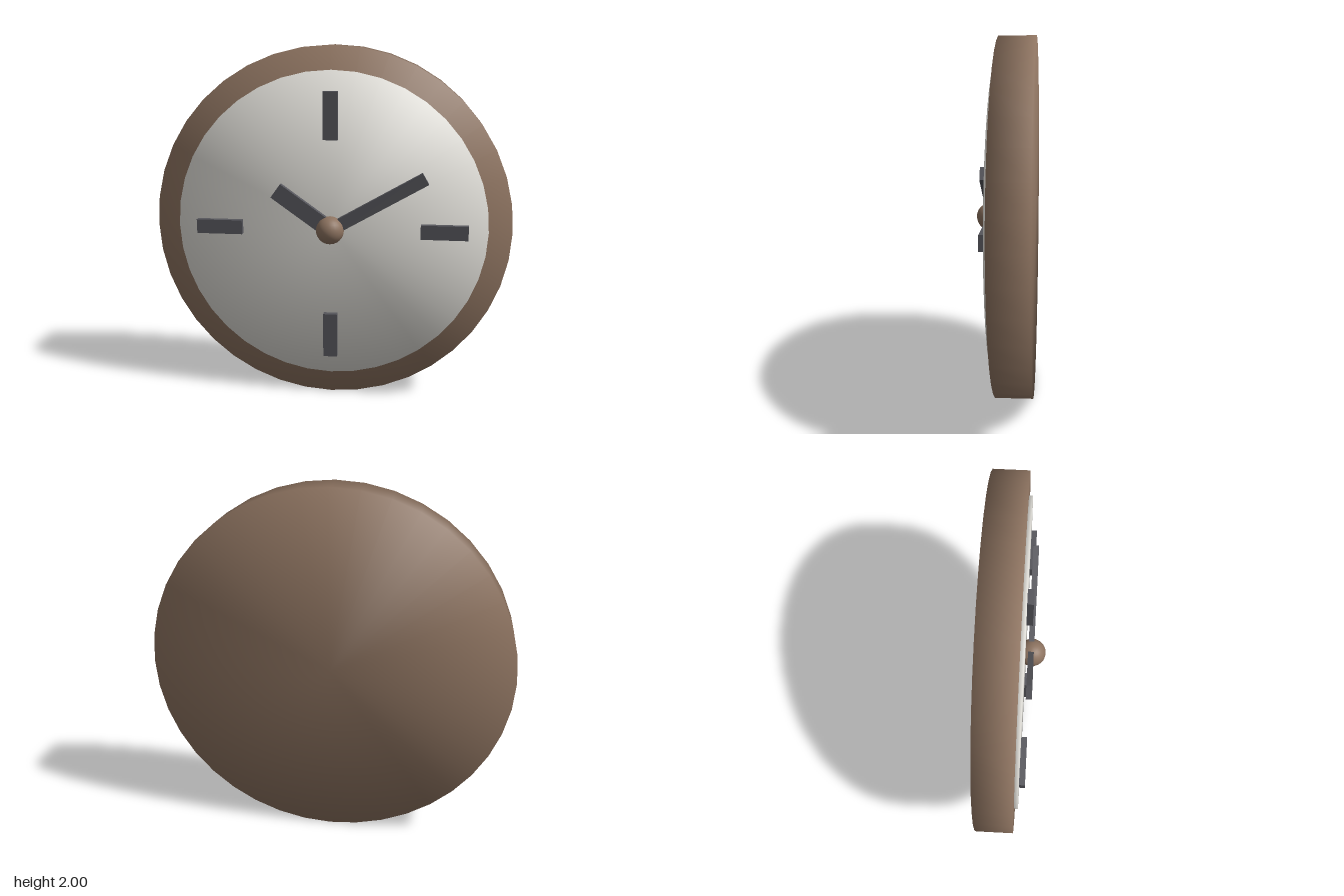
import * as THREE from 'three';

const wood = new THREE.MeshStandardMaterial({ name: 'brown wood', color: 0x8d7360 });
const dial = new THREE.MeshStandardMaterial({ name: 'off-white dial', color: 0xe0ded8 });
const dark = new THREE.MeshStandardMaterial({ name: 'charcoal', color: 0x55555b });

// Disc facing +z between two depths, with soft normals shared by rim and caps
function softDisc(radius, back, front, segments) {
  const geo = new THREE.CylinderGeometry(radius, radius, front - back, segments);
  geo.rotateX(Math.PI / 2);
  const p = geo.attributes.position, n = geo.attributes.normal;
  const v = new THREE.Vector3();
  for (let i = 0; i < p.count; i++) {
    const r = Math.hypot(p.getX(i), p.getY(i));
    if (r < 0.001) continue;
    v.set(p.getX(i) / r, p.getY(i) / r, Math.sign(p.getZ(i))).normalize();
    n.setXYZ(i, v.x, v.y, v.z);
  }
  return geo.translate(0, 0, (back + front) / 2);
}

// Bar pointing out from the centre, from radius r0 to r1 at the given angle
function radialBar(r0, r1, width, back, front, degrees) {
  return new THREE.BoxGeometry(r1 - r0, width, front - back)
    .translate((r0 + r1) / 2, 0, (back + front) / 2)
    .rotateZ(THREE.MathUtils.degToRad(degrees));
}

export function createModel() {
  const clock = new THREE.Group();
  clock.name = 'wallClock';

  const add = (name, geometry, material) => {
    const mesh = new THREE.Mesh(geometry, material);
    mesh.name = name;
    mesh.position.y = 1;
    clock.add(mesh);
  };

  // Case and dial
  add('case', softDisc(1, -0.167, 0.033, 40), wood);
  add('dial', softDisc(0.87, 0.02, 0.053, 40), dial);

  // Quarter-hour markers
  ['right', 'top', 'left', 'bottom'].forEach((side, i) => {
    const name = { right: 'threeMarker', top: 'twelveMarker', left: 'nineMarker', bottom: 'sixMarker' }[side];
    add(name, radialBar(0.5, 0.76, 0.08, 0.05, 0.085, i * 90), dark);
  });

  // Hands and centre knob
  add('minuteHand', radialBar(0, 0.6, 0.07, 0.068, 0.1, 30), dark);
  add('hourHand', radialBar(0, 0.373, 0.093, 0.067, 0.099, 180 - 35.6), dark);
  add('hub', new THREE.SphereGeometry(0.078, 24, 16).translate(0, 0, 0.089), wood);

  return clock;
}
